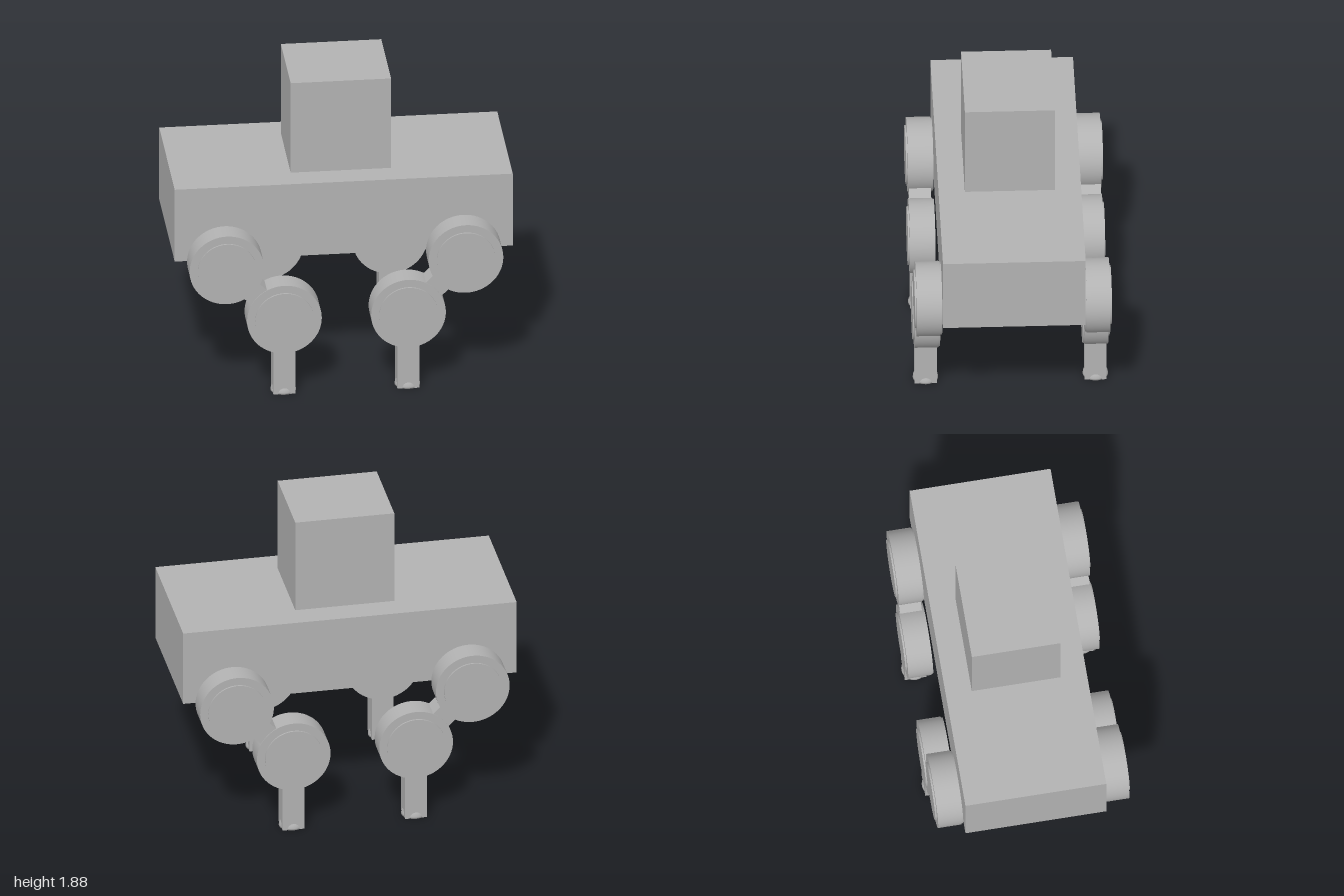
import * as THREE from 'three';

export function createModel() {
  const grey = new THREE.MeshStandardMaterial({ color: 0xb2b2b2 });
  grey.name = 'grey';
  const model = new THREE.Group();
  model.name = 'fourLeggedWalker';

  const add = (parent, name, geometry, x, y, z) => {
    const mesh = new THREE.Mesh(geometry, grey);
    mesh.name = name;
    mesh.position.set(x, y, z);
    parent.add(mesh);
    return mesh;
  };
  // Disc facing along z, between two depths
  const disc = (parent, name, r, x, y, z0, z1) =>
    add(parent, name, new THREE.CylinderGeometry(r, r, Math.abs(z1 - z0), 64).rotateX(Math.PI / 2), x, y, (z0 + z1) / 2);

  // Body and head
  add(model, 'body', new THREE.BoxGeometry(2, 0.47, 0.84), 0, 1.065, 0);
  add(model, 'head', new THREE.BoxGeometry(0.594, 0.585, 0.53), 0, 1.5925, 0);

  const hip = { x: 0.707, y: 0.83 }, knee = { x: 0.367, y: 0.49 };
  const limb = 0.13;

  for (const sx of [-1, 1]) for (const sz of [-1, 1]) {
    const leg = new THREE.Group();
    leg.name = `${sz > 0 ? 'front' : 'back'}${sx > 0 ? 'Left' : 'Right'}Leg`;
    model.add(leg);

    // Round joints with a raised outer cap and a thin inner plate
    for (const [name, p] of [['hip', hip], ['knee', knee]]) {
      disc(leg, name + 'Joint', 0.221, sx * p.x, p.y, sz * 0.43, sz * 0.57);
      disc(leg, name + 'Cap', 0.173, sx * p.x, p.y, sz * 0.565, sz * 0.58);
      disc(leg, name + 'InnerPlate', 0.215, sx * p.x, p.y, sz * 0.42, sz * 0.432);
    }

    // Diagonal thigh from hip to knee
    const dx = sx * (hip.x - knee.x), dy = hip.y - knee.y;
    const thigh = add(leg, 'thigh', new THREE.BoxGeometry(Math.hypot(dx, dy), limb, limb),
      sx * (hip.x + knee.x) / 2, (hip.y + knee.y) / 2, sz * 0.5);
    thigh.rotation.z = Math.atan2(dy, dx);

    // Straight shin and half-round foot
    add(leg, 'shin', new THREE.BoxGeometry(limb, 0.4, limb), sx * knee.x, 0.2, sz * 0.5);
    const footProfile = [new THREE.Vector2(0, 0)];
    for (let i = 0; i <= 12; i++) {
      const a = (i / 12) * Math.PI / 2;
      footProfile.push(new THREE.Vector2(0.075 * Math.cos(a), 0.075 * Math.sin(a)));
    }
    add(leg, 'foot', new THREE.LatheGeometry(footProfile, 32), sx * knee.x, 0, sz * 0.5);

    // Small pivot tip under the body
    const tip = add(leg, 'pivotTip', new THREE.ConeGeometry(0.03, 0.025, 12), sx * hip.x, 0.82, sz * 0.385);
    tip.rotation.x = Math.PI;
  }
  return model;
}
